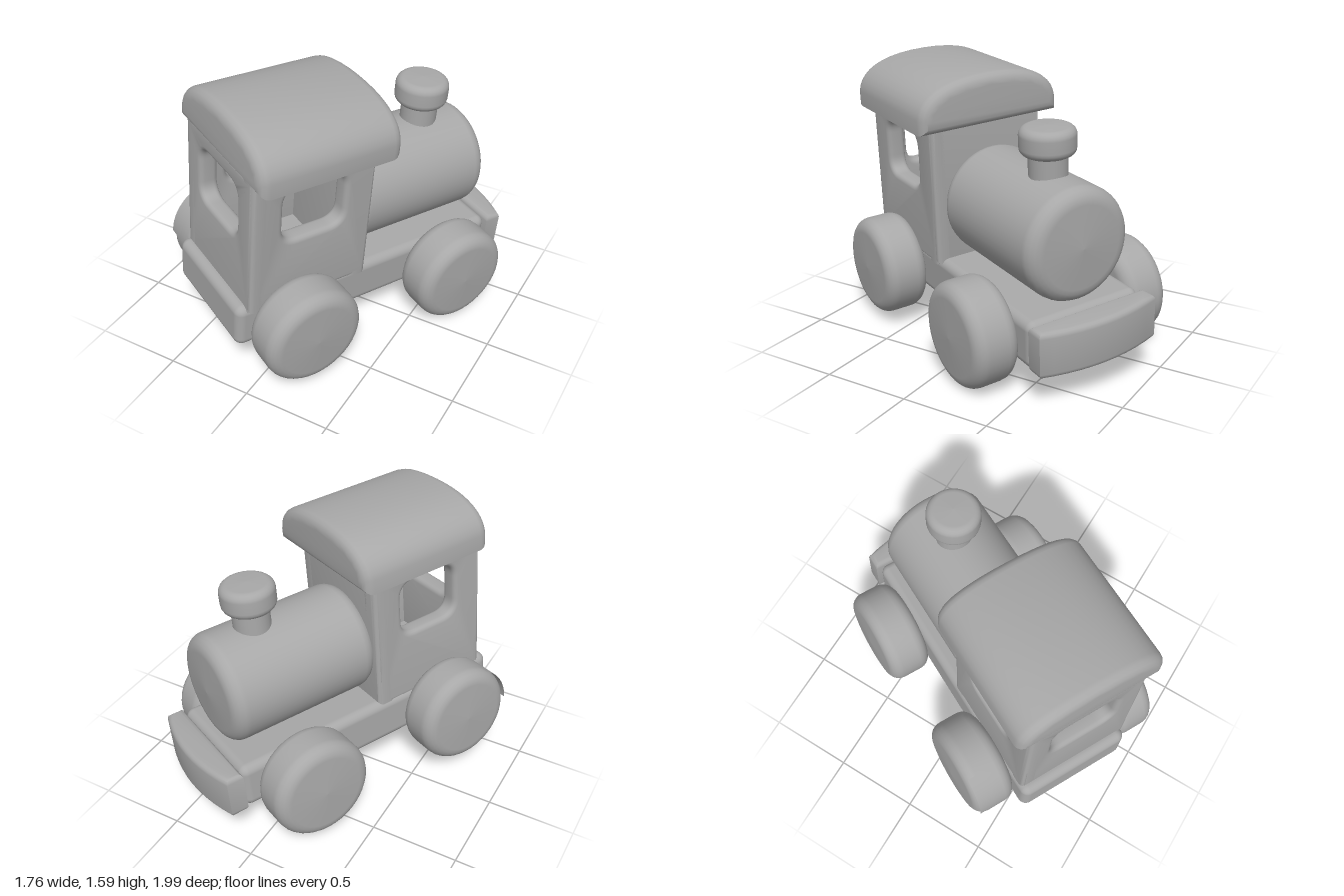
import * as THREE from 'three';
import { toCreasedNormals } from 'three/addons/utils/BufferGeometryUtils.js';
import { RoundedBoxGeometry } from 'three/addons/geometries/RoundedBoxGeometry.js';

export function createModel() {
  const grey = new THREE.MeshStandardMaterial({ color: 0xa8a8a8 });
  grey.name = 'plain grey';
  const greySheet = grey.clone();
  greySheet.side = THREE.DoubleSide;
  greySheet.name = 'plain grey sheet';

  const train = new THREE.Group();
  train.name = 'toyTrain';

  function add(name, geometry, x = 0, y = 0, z = 0, parent = train, material = grey) {
    const mesh = new THREE.Mesh(geometry, material);
    mesh.name = name;
    mesh.position.set(x, y, z);
    parent.add(mesh);
    return mesh;
  }

  // Solid of revolution about y with rounded rims and slightly domed ends
  function roundedCylinder(radius, height, edge, dome = 0, segments = 40) {
    const h = height / 2, pts = [new THREE.Vector2(0, -h - dome)];
    for (const side of [-1, 1]) {
      for (let i = 0; i <= 5; i++) {
        const a = (side < 0 ? i - 5 : i) / 5 * Math.PI / 2;
        pts.push(new THREE.Vector2(radius - edge + edge * Math.cos(a), side * (h - edge) + edge * Math.sin(a)));
      }
    }
    pts.push(new THREE.Vector2(0, h + dome));
    return new THREE.LatheGeometry(pts, segments);
  }

  // Extrusion centred in depth whose bevel stays inside the outline
  function slab(shape, depth, bevel) {
    const g = new THREE.ExtrudeGeometry(shape, {
      depth: depth - 2 * bevel, curveSegments: 10, bevelEnabled: true, bevelSegments: 4,
      bevelSize: bevel, bevelThickness: bevel, bevelOffset: -bevel,
    });
    g.translate(0, 0, bevel - depth / 2);
    return toCreasedNormals(g, 0.7);
  }

  function roundedRect(path, x0, y0, x1, y1, r) {
    path.moveTo(x0 + r, y0);
    path.lineTo(x1 - r, y0);
    path.quadraticCurveTo(x1, y0, x1, y0 + r);
    path.lineTo(x1, y1 - r);
    path.quadraticCurveTo(x1, y1, x1 - r, y1);
    path.lineTo(x0 + r, y1);
    path.quadraticCurveTo(x0, y1, x0, y1 - r);
    path.lineTo(x0, y0 + r);
    path.quadraticCurveTo(x0, y0, x0 + r, y0);
    return path;
  }

  // Chassis
  add('chassis', new RoundedBoxGeometry(0.7, 0.27, 1.71, 4, 0.05), 0, 0.015, 0.005);

  // Bowed bumper at the engine end
  const bow = new THREE.Shape();
  bow.moveTo(-0.37, 0.85);
  bow.lineTo(0.36, 0.85);
  bow.lineTo(0.36, 0.95);
  bow.quadraticCurveTo(0, 1.075, -0.37, 0.95);
  bow.closePath();
  add('bumper', slab(bow, 0.26, 0.03).rotateX(-Math.PI / 2), 0, 0.022, 0);

  // Boiler
  add('boiler', roundedCylinder(0.315, 0.91, 0.085, 0.015, 48).rotateX(Math.PI / 2), -0.003, 0.465, -0.355);

  // Chimney
  add('chimneyStem', new THREE.CylinderGeometry(0.105, 0.105, 0.24, 24), -0.01, 0.8, -0.5);
  add('chimneyCap', roundedCylinder(0.152, 0.155, 0.045, 0.005, 32), -0.01, 0.955, -0.5);

  // Cab walls, with windows in the back and both sides
  const cab = new THREE.Group();
  cab.name = 'cab';
  train.add(cab);
  const y0 = 0.12, y1 = 0.97, wall = 0.11;
  const cabX = 0.015, cabHalf = 0.355, cabFront = 0.065, cabBack = 0.805;
  function wallPanel(halfWidth, windowHalf) {
    const shape = new THREE.Shape();
    shape.moveTo(-halfWidth, y0);
    shape.lineTo(halfWidth, y0);
    shape.lineTo(halfWidth, y1);
    shape.lineTo(-halfWidth, y1);
    shape.closePath();
    if (windowHalf) shape.holes.push(roundedRect(new THREE.Path(), -windowHalf, 0.535, windowHalf, 0.86, 0.09));
    return slab(shape, wall, 0.03);
  }
  add('cabBackWall', wallPanel(cabHalf, 0.2), cabX, 0, cabBack - wall / 2, cab);
  add('cabFrontWall', wallPanel(cabHalf, 0), cabX, 0, cabFront + wall / 2, cab);
  for (const s of [-1, 1]) {
    add(s > 0 ? 'cabRightWall' : 'cabLeftWall',
      wallPanel((cabBack - cabFront) / 2, 0.185).rotateY(Math.PI / 2),
      cabX + s * (cabHalf - wall / 2), 0, (cabFront + cabBack) / 2, cab);
  }

  // Arched roof
  const arch = new THREE.Shape();
  arch.moveTo(-0.435, 0.925);
  arch.lineTo(0.435, 0.925);
  arch.lineTo(0.435, 1.01);
  arch.bezierCurveTo(0.42, 1.13, 0.29, 1.21, 0, 1.21);
  arch.bezierCurveTo(-0.29, 1.21, -0.42, 1.13, -0.435, 1.01);
  arch.closePath();
  add('roof', slab(arch, 0.84, 0.06), 0.027, 0, 0.395);

  // Wheels; the back right one sits slightly further back
  for (const x of [-1, 1]) {
    for (const z of [-1, 1]) {
      add('wheel', roundedCylinder(0.292, 0.265, 0.075, 0.01).rotateZ(Math.PI / 2),
        x * 0.48, x < 0 && z < 0 ? -0.015 : 0, x > 0 && z > 0 ? 0.515 : z * 0.492);
    }
  }

  // Loose thin strip around one back wheel
  const strip = new THREE.CylinderGeometry(0.295, 0.295, 0.1, 12, 1, true, -0.1, 1.05);
  strip.rotateZ(Math.PI / 2);
  strip.rotateX(-0.1);
  add('wheelStrip', strip, -0.545, 0, 0.49, train, greySheet);

  // The train stands turned and slightly tilted
  train.rotation.set(-0.046, -0.471, -0.065, 'YXZ');
  train.position.set(0.01, 0.348, 0.019);

  const model = new THREE.Group();
  model.name = 'model';
  model.add(train);
  return model;
}
